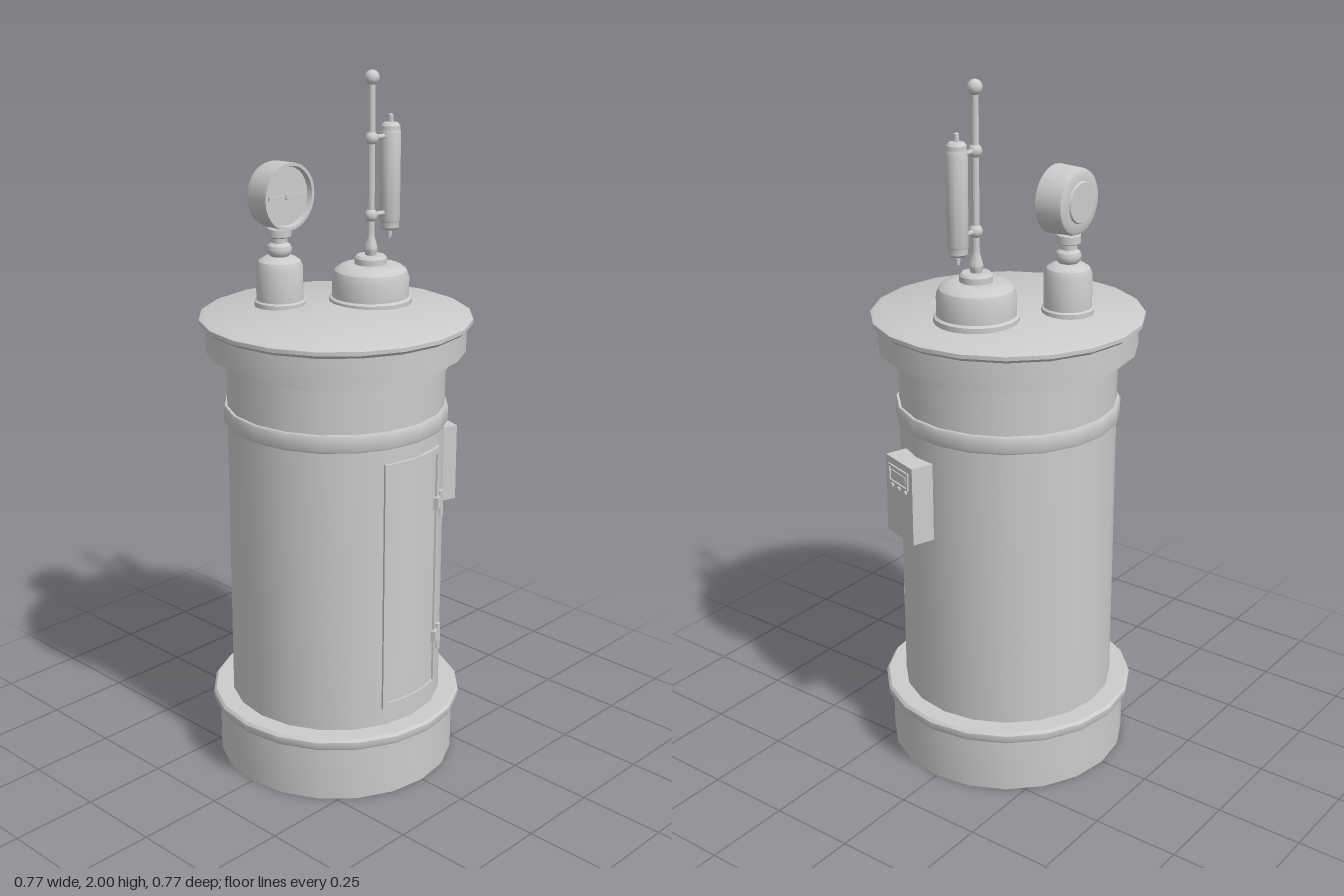
import * as THREE from 'three';
import { toCreasedNormals } from 'three/addons/utils/BufferGeometryUtils.js';

const material = new THREE.MeshStandardMaterial({ color: 0xcccccc });

function add(parent, name, geometry, x = 0, y = 0, z = 0) {
  const mesh = new THREE.Mesh(geometry, material);
  mesh.name = name;
  mesh.position.set(x, y, z);
  parent.add(mesh);
  return mesh;
}

// Turned solid from [radius, height] pairs, bottom to top
function turned(profile, sides) {
  const points = profile.map(([r, y]) => new THREE.Vector2(r, y));
  return toCreasedNormals(new THREE.LatheGeometry(points, sides), 0.55);
}

// Bar wrapped around the vertical axis at the given radius
function curvedBar(width, height, depth, x, y, radius) {
  const geometry = new THREE.BoxGeometry(width, height, depth, 8, 1, 1);
  const p = geometry.attributes.position;
  for (let i = 0; i < p.count; i++) {
    const angle = (p.getX(i) + x) / radius;
    const r = radius + p.getZ(i);
    p.setXYZ(i, Math.sin(angle) * r, p.getY(i) + y, Math.cos(angle) * r);
  }
  return toCreasedNormals(geometry, 0.55);
}

const box = (w, h, d) => new THREE.BoxGeometry(w, h, d);
const rod = (r, h, sides = 12) => new THREE.CylinderGeometry(r, r, h, sides);

function makeHousing() {
  const group = new THREE.Group();
  group.name = 'housing';
  add(group, 'plinth', turned([
    [0, 0], [0.35, 0], [0.35, 0.163], [0.366, 0.168], [0.37, 0.176],
    [0.37, 0.192], [0.363, 0.2], [0.3, 0.2]], 20));
  add(group, 'body', turned([[0.31, 0.19], [0.31, 1.25]], 20));
  add(group, 'band', turned([
    [0.3, 1.04], [0.317, 1.04], [0.32, 1.046], [0.32, 1.084], [0.317, 1.09], [0.3, 1.09]], 20));
  add(group, 'collar', turned([
    [0.3, 1.222], [0.334, 1.222], [0.334, 1.248], [0.366, 1.248], [0.366, 1.322], [0.3, 1.322]], 20));
  add(group, 'lid', turned([
    [0.3, 1.318], [0.372, 1.32], [0.384, 1.33], [0.384, 1.341], [0.37, 1.347], [0, 1.36]], 20));
  return group;
}

function makeDoor() {
  const group = new THREE.Group();
  group.name = 'door';
  const radius = 0.305;
  for (const side of [-1, 1]) {
    add(group, 'frameSide', curvedBar(0.016, 0.74, 0.024, side * 0.103, 0.625, radius));
    add(group, 'frameRail', curvedBar(0.222, 0.018, 0.024, 0, 0.625 + side * 0.362, radius));
  }
  add(group, 'panel', curvedBar(0.19, 0.706, 0.012, 0, 0.625, radius));
  for (const y of [0.415, 0.83]) {
    const hinge = new THREE.Group();
    hinge.name = 'hinge';
    hinge.rotation.y = 0.34;
    add(hinge, 'hingePlate', box(0.042, 0.036, 0.014), 0, y, 0.318);
    add(hinge, 'hingePin', rod(0.008, 0.078, 8), 0.012, y - 0.008, 0.32);
    group.add(hinge);
  }
  return group;
}

function makeControlBox() {
  const group = new THREE.Group();
  group.name = 'controlBox';
  group.rotation.y = Math.PI / 2 - 0.32;
  add(group, 'case', box(0.136, 0.23, 0.08), 0, 0.86, 0.326);
  // raised border around the display
  for (const side of [-1, 1]) {
    add(group, 'displaySide', box(0.006, 0.046, 0.006), side * 0.047, 0.929, 0.368);
    add(group, 'displayRail', box(0.1, 0.006, 0.006), 0, 0.929 + side * 0.023, 0.368);
  }
  add(group, 'display', box(0.07, 0.02, 0.004), 0, 0.929, 0.367);
  for (const x of [-0.034, 0, 0.034])
    add(group, 'button', rod(0.007, 0.008, 10), x, 0.893, 0.368).rotation.x = Math.PI / 2;
  return group;
}

function makeGauge() {
  const group = new THREE.Group();
  group.name = 'gauge';
  group.position.set(-0.065, 0, -0.157);
  add(group, 'gaugeBase', turned([
    [0.073, 1.34], [0.073, 1.366], [0.067, 1.37], [0.067, 1.462], [0.06, 1.48],
    [0.045, 1.49], [0.034, 1.494], [0, 1.494]], 20));
  add(group, 'gaugeStem', turned([
    [0.024, 1.49], [0.034, 1.503], [0.036, 1.513], [0.033, 1.524], [0.023, 1.532],
    [0.023, 1.545], [0.034, 1.55], [0.034, 1.572], [0.026, 1.578], [0.026, 1.6]], 16));
  // dial case runs from back to front, with a recessed face
  const dial = new THREE.Group();
  dial.name = 'dial';
  dial.position.set(0, 1.665, 0);
  dial.rotation.x = Math.PI / 2;
  add(dial, 'dialCase', turned([
    [0, -0.043], [0.055, -0.043], [0.058, -0.038], [0.08, -0.038], [0.089, -0.033],
    [0.092, -0.022], [0.094, 0.046], [0.085, 0.046], [0.082, 0.03], [0, 0.03]], 28));
  add(dial, 'needle', box(0.14, 0.006, 0.01), 0, 0.034, 0);
  add(dial, 'needleHub', rod(0.01, 0.01), 0, 0.035, 0);
  group.add(dial);
  return group;
}

function makeMast() {
  const group = new THREE.Group();
  group.name = 'mast';
  group.position.set(0.142, 0, 0);
  add(group, 'mastBase', turned([
    [0.118, 1.335], [0.118, 1.366], [0.11, 1.371], [0.11, 1.425], [0.103, 1.445],
    [0.088, 1.457], [0.07, 1.462], [0.046, 1.463], [0.046, 1.48], [0.04, 1.487], [0, 1.488]], 24));
  add(group, 'pole', turned([
    [0.014, 1.48], [0.018, 1.496], [0.02, 1.506], [0.017, 1.518], [0.011, 1.54],
    [0.01, 1.56], [0.01, 1.975]], 12));
  add(group, 'tipBall', new THREE.SphereGeometry(0.021, 16, 12), 0, 1.979, 0);
  for (const y of [1.6, 1.815]) {
    add(group, 'joint', new THREE.SphereGeometry(0.019, 12, 10), 0, y, 0);
    add(group, 'bracket', rod(0.007, 0.06, 8), 0.034, y, 0).rotation.z = Math.PI / 2;
  }
  add(group, 'sideCylinder', turned([
    [0, 1.526], [0.006, 1.526], [0.007, 1.547], [0.02, 1.549], [0.027, 1.556], [0.027, 1.572],
    [0.029, 1.576], [0.029, 1.825], [0.027, 1.829], [0.027, 1.842], [0.02, 1.85], [0.007, 1.852],
    [0.007, 1.872], [0, 1.876]], 16), 0.078, 0, 0);
  return group;
}

export function createModel() {
  const model = new THREE.Group();
  model.name = 'instrumentCabinet';
  model.add(makeHousing(), makeDoor(), makeControlBox(), makeGauge(), makeMast());
  return model;
}
